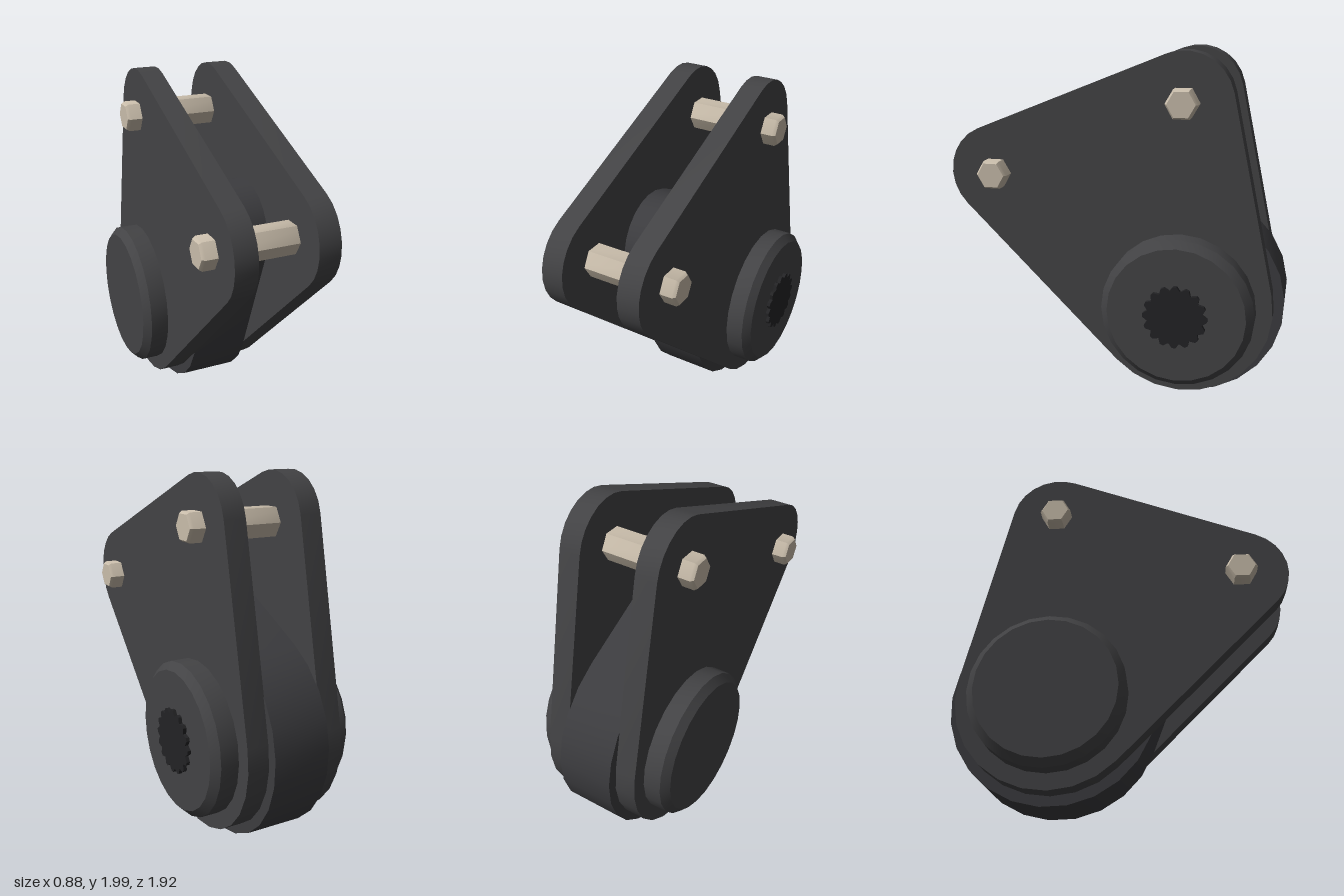
import * as THREE from 'three';
import { toCreasedNormals } from 'three/addons/utils/BufferGeometryUtils.js';

const plateMat = new THREE.MeshStandardMaterial({ color: 0x434345 });
const bodyMat = new THREE.MeshStandardMaterial({ color: 0x3c3c3f });
const splineMat = new THREE.MeshStandardMaterial({ color: 0x232325 });
const boltMat = new THREE.MeshStandardMaterial({ color: 0xc8bcaa });

// Pivot positions as [z, y]
const AXLE = [-0.385, 0.58];
const BOLTS = [[-0.385, 1.73], [0.69, 1.3]];

// Outline wrapped tightly round circles { z, y, r } listed counter-clockwise in (-z, y)
function beltShape(circles) {
  const n = circles.length;
  const normals = circles.map((a, i) => {
    const b = circles[(i + 1) % n];
    const dx = a.z - b.z, dy = b.y - a.y;
    return Math.atan2(dy, dx) - Math.acos((a.r - b.r) / Math.hypot(dx, dy));
  });
  const points = [];
  circles.forEach((c, i) => {
    const start = normals[(i + n - 1) % n];
    let span = normals[i] - start;
    while (span < 0) span += Math.PI * 2;
    const steps = Math.max(2, Math.round(span / (Math.PI / 12)));
    for (let k = 0; k <= steps; k++) {
      const t = start + span * k / steps;
      points.push(new THREE.Vector2(-c.z + c.r * Math.cos(t), c.y + c.r * Math.sin(t)));
    }
  });
  return new THREE.Shape(points);
}

// Extrude a (-z, y) outline along x from x0 to x1
function slab(shape, x0, x1) {
  const geo = new THREE.ExtrudeGeometry(shape, { depth: x1 - x0, bevelEnabled: false });
  geo.rotateY(Math.PI / 2).translate(x0, 0, 0);
  return toCreasedNormals(geo, 0.6);
}

// Turn a [radius, x] profile about the x axis
function turned(profile, sides) {
  const geo = new THREE.LatheGeometry(profile.map(([r, x]) => new THREE.Vector2(r, x)), sides);
  geo.rotateZ(-Math.PI / 2);
  return toCreasedNormals(geo, 0.6);
}

export function createModel() {
  const model = new THREE.Group();
  model.name = 'clevisPulleyBracket';
  const assembly = new THREE.Group();
  assembly.name = 'assembly';
  assembly.position.x = -0.0125;
  model.add(assembly);

  const add = (name, geo, mat, z = 0, y = 0) => {
    const mesh = new THREE.Mesh(geo, mat);
    mesh.name = name;
    mesh.position.set(0, y, z);
    assembly.add(mesh);
    return mesh;
  };

  // Two triangular side plates
  const plate = beltShape([
    { z: AXLE[0], y: AXLE[1], r: 0.52 },
    { z: BOLTS[0][0], y: BOLTS[0][1], r: 0.27 },
    { z: BOLTS[1][0], y: BOLTS[1][1], r: 0.27 },
  ]);
  add('leftPlate', slab(plate, 0.1625, 0.2875), plateMat);
  add('rightPlate', slab(plate, -0.2875, -0.1625), plateMat);

  // Teardrop housing between the plates
  const housing = beltShape([
    { z: AXLE[0], y: AXLE[1], r: 0.577 },
    { z: 0.15, y: 1.16, r: 0.28 },
  ]);
  add('housing', slab(housing, -0.165, 0.165), bodyMat);

  // Chamfered hubs on both sides
  const hub = [[0.43, 0.28], [0.43, 0.39], [0.388, 0.43], [0, 0.43]];
  add('leftHub', turned(hub, 24), plateMat, ...AXLE);
  add('rightHub', turned(hub, 24), plateMat, ...AXLE).rotation.y = Math.PI;

  // Toothed shaft end on the left hub
  const teeth = 16, pts = [];
  for (let i = 0; i < teeth; i++) {
    const a = Math.PI / 2 + i * Math.PI * 2 / teeth;
    for (const [da, r] of [[-0.5, 0.155], [-0.14, 0.18], [0.14, 0.18]]) {
      const t = a + da * Math.PI * 2 / teeth;
      pts.push(new THREE.Vector2(r * Math.cos(t), r * Math.sin(t)));
    }
  }
  add('splinedShaft', slab(new THREE.Shape(pts), 0.4, 0.45), splineMat, ...AXLE);

  // Hexagonal cross bolts with chamfered ends
  const bolt = [[0, -0.3725], [0.077, -0.3725], [0.09, -0.355], [0.09, 0.355], [0.077, 0.3725], [0, 0.3725]];
  BOLTS.forEach((p, i) => add(i ? 'frontBolt' : 'topBolt', turned(bolt, 6), boltMat, ...p));

  return model;
}
